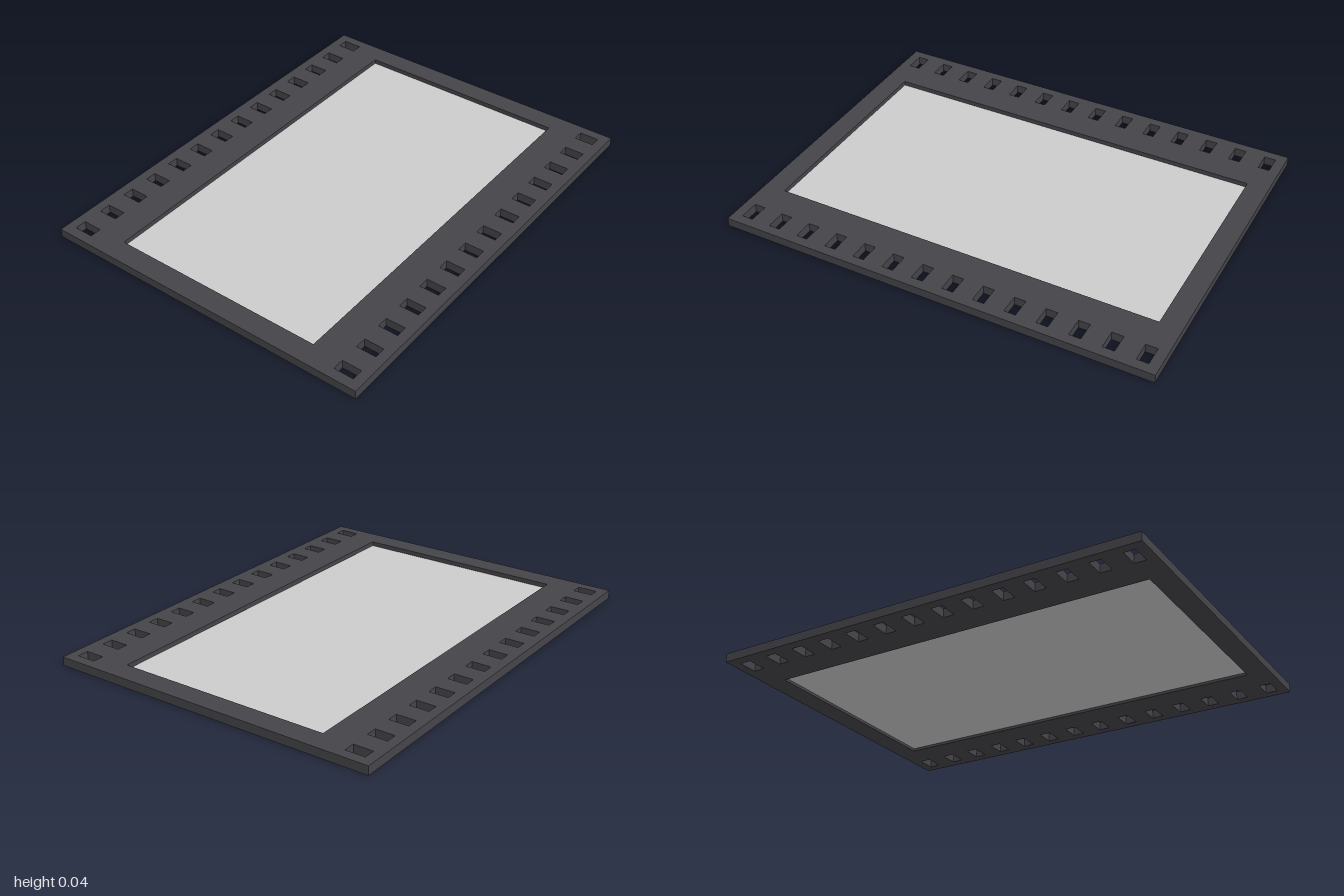
import * as THREE from 'three';

const THICKNESS = 0.04;

// Rectangle centred on (x, y), as an outline or a hole
function rect(PathType, x, y, w, h) {
  const p = new PathType();
  p.moveTo(x - w / 2, y - h / 2);
  p.lineTo(x + w / 2, y - h / 2);
  p.lineTo(x + w / 2, y + h / 2);
  p.lineTo(x - w / 2, y + h / 2);
  p.closePath();
  return p;
}

export function createModel() {
  const group = new THREE.Group();
  group.name = 'filmFrame';

  // Dark strip with the picture window and two rows of sprocket holes
  const outline = rect(THREE.Shape, 0, 0, 2, 1.56);
  outline.holes.push(rect(THREE.Path, 0, 0, 1.8, 1.01));
  const count = 14, reach = 0.928;
  for (const side of [-1, 1]) {
    for (let i = 0; i < count; i++) {
      const x = -reach + (2 * reach * i) / (count - 1);
      outline.holes.push(rect(THREE.Path, x, side * 0.69, 0.052, 0.09));
    }
  }
  const stripGeometry = new THREE.ExtrudeGeometry(outline, { depth: THICKNESS, bevelEnabled: false });
  stripGeometry.rotateX(-Math.PI / 2);
  const strip = new THREE.Mesh(stripGeometry, new THREE.MeshStandardMaterial({ color: 0x454449 }));
  strip.name = 'perforatedStrip';
  group.add(strip);

  // Thin picture pane set inside the window
  const pane = new THREE.Mesh(
    new THREE.BoxGeometry(1.8, 0.006, 1.01),
    new THREE.MeshStandardMaterial({ color: 0xcccccc })
  );
  pane.name = 'picturePane';
  pane.position.y = 0.016;
  group.add(pane);

  return group;
}
